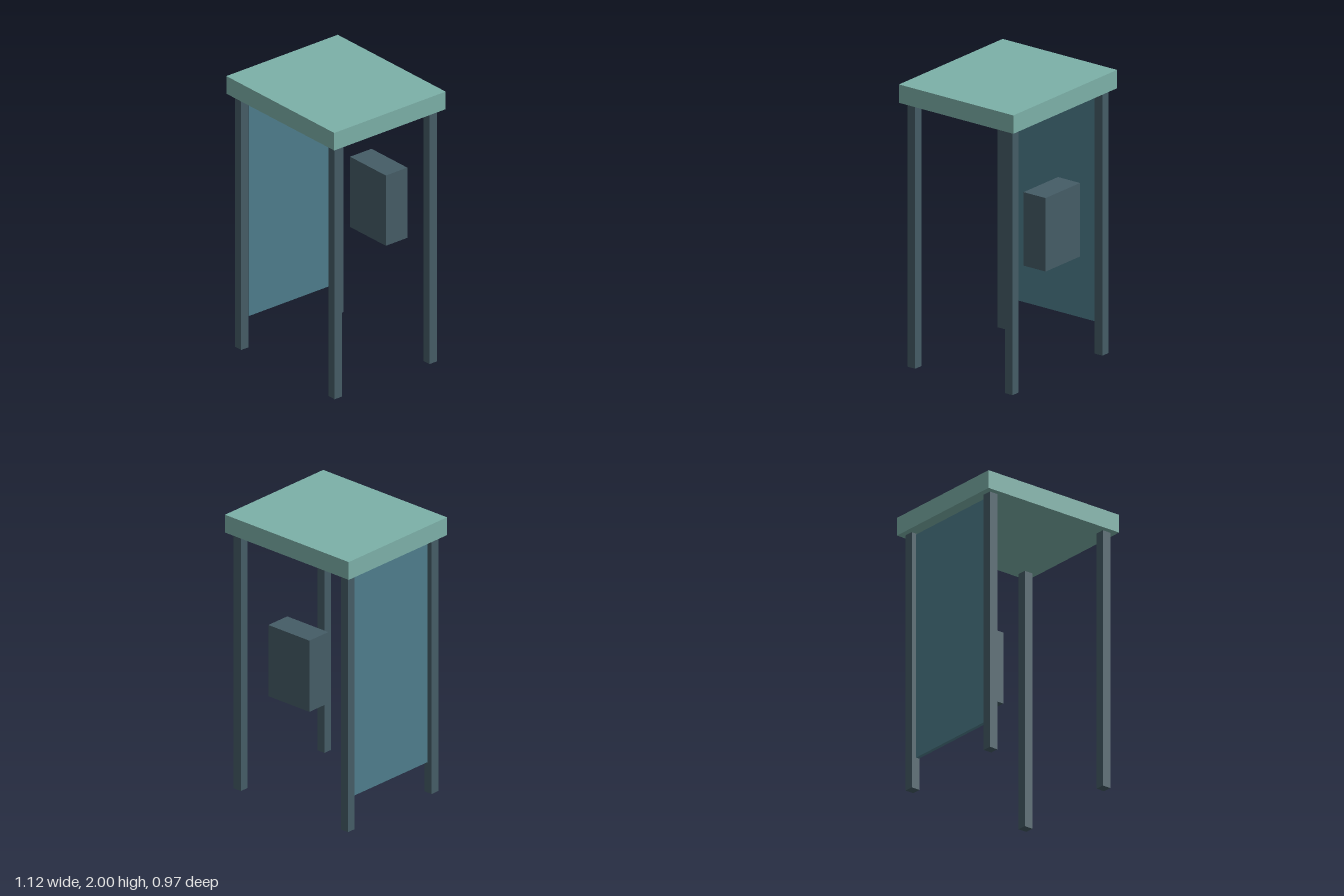
import * as THREE from 'three';

const material = (color) => new THREE.MeshStandardMaterial({ color });

export function createModel() {
  const group = new THREE.Group();
  const roofMat = material(0x7cb0a8);
  const frameMat = material(0x455c66);
  const panelMat = material(0x4e7d8c);

  const addBox = (name, mat, size, position) => {
    const mesh = new THREE.Mesh(new THREE.BoxGeometry(...size), mat);
    mesh.name = name;
    mesh.position.set(...position);
    group.add(mesh);
  };

  // Flat roof slab
  addBox('roof', roofMat, [1.115, 0.13, 0.966], [0, 1.935, 0]);

  // Four corner posts
  for (const x of [-1, 1]) {
    for (const z of [-1, 1]) {
      const name = (z > 0 ? 'front' : 'back') + (x > 0 ? 'Left' : 'Right') + 'Post';
      addBox(name, frameMat, [0.065, 1.87, 0.065], [x * 0.483, 0.935, z * 0.411]);
    }
  }

  // Thin side panel between the posts on one side
  addBox('sidePanel', panelMat, [0.025, 1.635, 0.743], [-0.471, 1.0425, 0]);

  // Equipment box at the back
  addBox('equipmentBox', frameMat, [0.37, 0.52, 0.186], [0, 1.043, -0.37]);

  return group;
}
